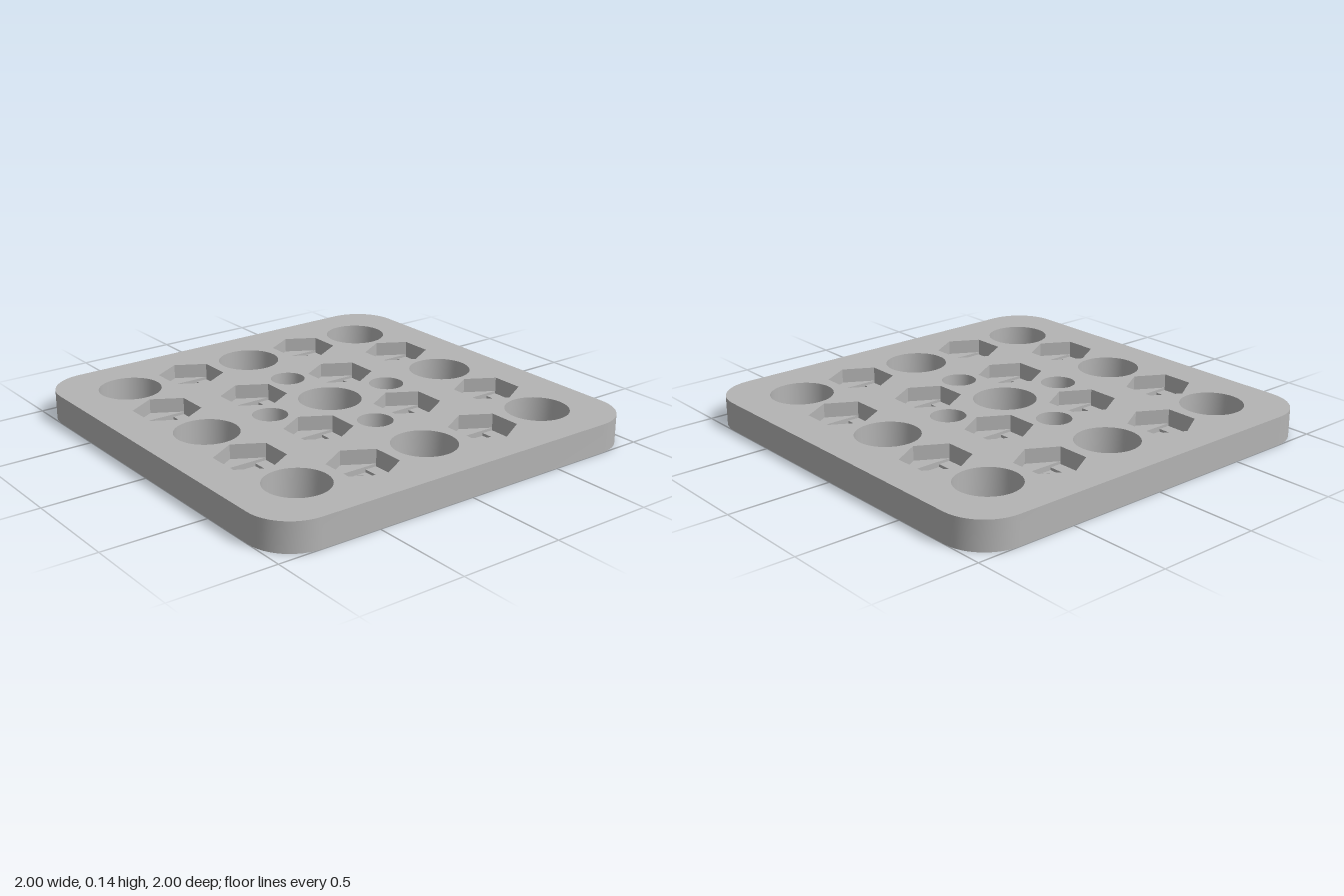
import * as THREE from 'three';
import { mergeGeometries, toCreasedNormals } from 'three/addons/utils/BufferGeometryUtils.js';

const HEIGHT = 0.14, HALF = 1, CORNER = 0.21;
const PITCH = 0.683;
const HEX_R = 0.158, HEX_FLAT = HEX_R * Math.sqrt(3) / 2, SLOT = HEX_R / 2;
// Levels of the stepped nut pocket, from the underside up
const Y_SQUARE = 0.045, Y_SLOT = 0.058, Y_HEX = 0.071;

// Counter-clockwise outlines in plan
const ring = (r, n) => Array.from({ length: n }, (_, i) => {
  const a = i / n * Math.PI * 2;
  return new THREE.Vector2(r * Math.cos(a), r * Math.sin(a));
});
const rect = (x0, y0, x1, y1) =>
  [[x0, y0], [x1, y0], [x1, y1], [x0, y1]].map(p => new THREE.Vector2(...p));
const moved = (pts, [x, y]) => pts.map(p => new THREE.Vector2(p.x + x, p.y + y));

// Horizontal face at height y, facing up or down
function sheet(outline, holes, y, up = true) {
  const shape = new THREE.Shape(outline);
  shape.holes = holes.map(h => new THREE.Path(h));
  const g = new THREE.ShapeGeometry(shape).rotateX(up ? -Math.PI / 2 : Math.PI / 2).translate(0, y, 0);
  g.deleteAttribute('uv');
  return g.toNonIndexed();
}

// Vertical wall along a closed outline; inward walls line a hole
function wall(outline, y0, y1, inward = true) {
  const pts = inward ? [...outline].reverse() : outline;
  const pos = [];
  pts.forEach((a, i) => {
    const b = pts[(i + 1) % pts.length];
    pos.push(a.x, y0, -a.y, b.x, y0, -b.y, b.x, y1, -b.y,
      a.x, y0, -a.y, b.x, y1, -b.y, a.x, y1, -a.y);
  });
  const g = new THREE.BufferGeometry();
  g.setAttribute('position', new THREE.Float32BufferAttribute(pos, 3));
  return toCreasedNormals(g, 0.6);
}

export function createModel() {
  const group = new THREE.Group();
  group.name = 'perforatedPlate';
  const grey = new THREE.MeshStandardMaterial({ color: 0xb4b4b4 });
  grey.name = 'grey';
  const add = (name, parts) => {
    const mesh = new THREE.Mesh(mergeGeometries(parts), grey);
    mesh.name = name;
    group.add(mesh);
  };

  // Rounded square outline
  const outline = [];
  const c = HALF - CORNER;
  [[c, c], [-c, c], [-c, -c], [c, -c]].forEach(([x, y], k) => {
    for (let i = 0; i <= 12; i++) {
      const a = (k + i / 12) * Math.PI / 2;
      outline.push(new THREE.Vector2(x + CORNER * Math.cos(a), y + CORNER * Math.sin(a)));
    }
  });

  // Hole positions
  const large = [], nuts = [], h = PITCH / 2, d = 0.257;
  for (const x of [-PITCH, 0, PITCH]) for (const y of [-PITCH, 0, PITCH]) large.push([x, y]);
  for (const sx of [-1, 1]) for (const sy of [-1, 1]) {
    nuts.push([sx * h, sy * PITCH], [sx * PITCH, sy * h], [sx * d, sy * d]);
  }
  const small = [[h, 0], [-h, 0], [0, h], [0, -h]];

  const largeHoles = large.map(p => moved(ring(0.15, 48), p));
  const smallHoles = small.map(p => moved(ring(0.083, 32), p));
  const hexes = nuts.map(p => moved(ring(HEX_R, 6), p));
  const boltRing = ring(SLOT - 0.0005, 32);
  const boltHoles = nuts.map(p => moved(boltRing, p));

  // Plate faces and rim
  add('topFace', [sheet(outline, [...largeHoles, ...smallHoles, ...hexes], HEIGHT)]);
  add('bottomFace', [sheet(outline, [...largeHoles, ...smallHoles, ...boltHoles], 0, false)]);
  add('rim', [wall(outline, 0, HEIGHT, false)]);

  // Plain through holes
  add('largeHoles', largeHoles.map(o => wall(o, 0, HEIGHT)));
  add('smallHoles', smallHoles.map(o => wall(o, 0, HEIGHT)));

  // Nut pockets: hexagon, then slot, then square, then round bolt hole
  const square = rect(-SLOT, -SLOT, SLOT, SLOT);
  const slot = rect(-SLOT, -HEX_FLAT, SLOT, HEX_FLAT);
  const hex = ring(HEX_R, 6);
  const pocket = mergeGeometries([
    wall(hex, Y_HEX, HEIGHT),
    sheet([hex[5], hex[0], hex[1]], [], Y_HEX),
    sheet([hex[2], hex[3], hex[4]], [], Y_HEX),
    wall(slot, Y_SLOT, Y_HEX),
    sheet(rect(-SLOT, SLOT, SLOT, HEX_FLAT), [], Y_SLOT),
    sheet(rect(-SLOT, -HEX_FLAT, SLOT, -SLOT), [], Y_SLOT),
    wall(square, Y_SQUARE, Y_SLOT),
    sheet(square, [boltRing], Y_SQUARE),
    wall(boltRing, 0, Y_SQUARE),
  ]);
  for (const [x, y] of nuts) {
    const mesh = new THREE.Mesh(pocket, grey);
    mesh.name = 'nutPocket';
    mesh.position.set(x, 0, -y);
    group.add(mesh);
  }
  return group;
}
